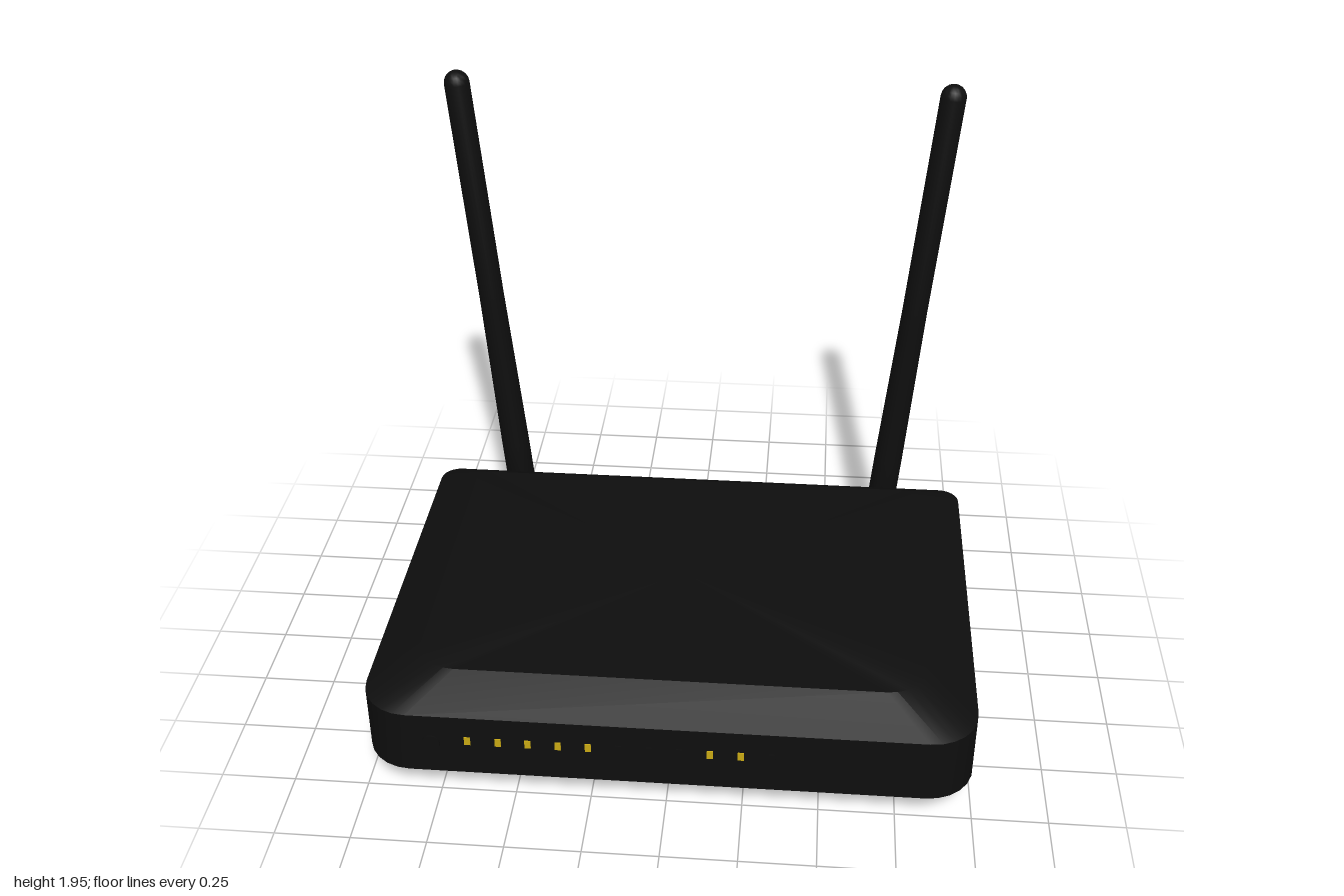
import * as THREE from 'three';
import { toCreasedNormals } from 'three/addons/utils/BufferGeometryUtils.js';

const black = new THREE.MeshStandardMaterial({ color: 0x0e0e0e });
black.name = 'black plastic';
const yellow = new THREE.MeshStandardMaterial({ color: 0xcaaa14 });
yellow.name = 'yellow plastic';

const FRONT = 0.795, BACK = -0.65, MID = (FRONT + BACK) / 2;
const WALL_LOW = 0.12, WALL_HIGH = 0.35, BACK_R = 0.07;
const PORTS = { x: 0.215, y: 0.24, w: 0.43, h: 0.14 };

function add(parent, name, geometry, material, x = 0, y = 0, z = 0) {
  const mesh = new THREE.Mesh(geometry, material);
  mesh.name = name;
  mesh.position.set(x, y, z);
  parent.add(mesh);
  return mesh;
}

function rect(Type, x, y, w, h) {
  const r = new Type();
  r.moveTo(x - w / 2, y - h / 2);
  r.lineTo(x + w / 2, y - h / 2);
  r.lineTo(x + w / 2, y + h / 2);
  r.lineTo(x - w / 2, y + h / 2);
  r.closePath();
  return r;
}

// Rounded plan outline lofted through four levels, chamfered above and below.
function bodyGeometry() {
  const steps = 6, plan = [];
  const corners = [[1, 1, 0.16], [-1, 1, 0.16], [-1, -1, BACK_R], [1, -1, BACK_R]];
  corners.forEach(([sx, sz, r], q) => {
    for (let i = 0; i <= steps; i++) {
      const a = (q + i / steps) * Math.PI / 2;
      const cz = sz > 0 ? FRONT - r : BACK + r;
      plan.push([sx * (1 - r) + r * Math.cos(a), cz + r * Math.sin(a)]);
    }
  });
  const levels = [[0.035, 0.835, 0.807], [WALL_LOW, 1, 1], [WALL_HIGH, 1, 1], [0.435, 0.835, 0.807]];
  const rings = levels.map(([y, kx, kz]) => plan.map(([x, z]) => [x * kx, y, MID + (z - MID) * kz]));
  const n = plan.length, backEdge = 3 * (steps + 1) - 1, pos = [];
  const tri = (a, b, c) => pos.push(...a, ...b, ...c);
  for (let i = 0; i < n; i++) {
    const j = (i + 1) % n;
    for (let k = 0; k < 3; k++) {
      if (k === 1 && i === backEdge) continue; // the back panel fills this gap
      const lo = rings[k], up = rings[k + 1];
      tri(lo[i], up[i], lo[j]);
      tri(up[i], up[j], lo[j]);
    }
    tri([0, 0.435, MID], rings[3][j], rings[3][i]);
    tri([0, 0.035, MID], rings[0][i], rings[0][j]);
  }
  const g = new THREE.BufferGeometry();
  g.setAttribute('position', new THREE.Float32BufferAttribute(pos, 3));
  return toCreasedNormals(g, 0.45);
}

// Socket opening with a stepped notch for the plug latch.
function socketHole(x, y) {
  const p = [[-0.038, -0.04], [0.038, -0.04], [0.038, 0.015], [0.022, 0.015], [0.022, 0.03],
    [0.012, 0.03], [0.012, 0.042], [-0.012, 0.042], [-0.012, 0.03], [-0.022, 0.03],
    [-0.022, 0.015], [-0.038, 0.015]];
  return new THREE.Path(p.map(([u, v]) => new THREE.Vector2(x + u, y + v)));
}

function antenna(side) {
  const group = new THREE.Group();
  group.name = side > 0 ? 'leftAntenna' : 'rightAntenna';
  const tilt = 0.088, length = 1.825, tip = 0.045;

  // Tapered rod with a domed tip
  const profile = [[0, 0], [0.05, 0], [0.054, 0.008], [0.053, 0.3], [0.046, 0.95], [tip, length - tip]];
  for (let i = 1; i <= 5; i++) {
    const a = i / 5 * Math.PI / 2;
    profile.push([Math.max(0, tip * Math.cos(a)), length - tip + tip * Math.sin(a)]);
  }
  const rodShape = new THREE.LatheGeometry(profile.map(([r, y]) => new THREE.Vector2(r, y)), 20);
  const rod = add(group, 'antennaRod', toCreasedNormals(rodShape, 0.6), black, side * 0.706, 0.13, -0.746);
  rod.rotation.z = -side * tilt;

  // Hinge stub joining the rod to the case
  const hinge = add(group, 'antennaHinge', new THREE.CylinderGeometry(0.036, 0.036, 0.12, 18), black,
    side * 0.715, 0.238, -0.69);
  hinge.rotation.x = Math.PI / 2;
  return group;
}

export function createModel() {
  const model = new THREE.Group();
  model.name = 'router';
  add(model, 'case', bodyGeometry(), black);

  // Back panel, open where the sockets sit
  const midY = (WALL_LOW + WALL_HIGH) / 2;
  const panel = rect(THREE.Shape, 0, midY, 2 * (1 - BACK_R), WALL_HIGH - WALL_LOW);
  panel.holes.push(rect(THREE.Path, -PORTS.x, PORTS.y, PORTS.w, PORTS.h));
  add(model, 'backPanel', new THREE.ShapeGeometry(panel), black, 0, 0, BACK).rotation.y = Math.PI;

  // Socket block with four recessed sockets
  const block = rect(THREE.Shape, -PORTS.x, PORTS.y, PORTS.w, PORTS.h);
  for (let i = 0; i < 4; i++) block.holes.push(socketHole(-PORTS.x + (i - 1.5) * 0.1, PORTS.y));
  const blockShape = new THREE.ExtrudeGeometry(block, { depth: 0.07, bevelEnabled: false });
  add(model, 'socketBlock', blockShape, yellow, 0, 0, BACK + 0.064).rotation.y = Math.PI;
  add(model, 'socketBacking', new THREE.BoxGeometry(PORTS.w, PORTS.h, 0.008), yellow,
    PORTS.x, PORTS.y, BACK + 0.068);

  // Small buttons on the back
  for (const [x, y, r] of [[0.545, 0.275, 0.012], [0.55, 0.19, 0.025], [-0.575, 0.24, 0.012]]) {
    add(model, 'backButton', new THREE.CylinderGeometry(r, r, 0.012, 16), black, x, y, BACK)
      .rotation.x = Math.PI / 2;
  }

  // Indicator lights: some lit, some dark
  for (const x of [-0.64, -0.54, -0.443, -0.345, -0.247, 0.146, 0.245]) {
    add(model, 'litIndicator', new THREE.BoxGeometry(0.02, 0.03, 0.008), yellow, x, 0.256, FRONT);
  }
  for (const x of [-0.15, -0.05, 0.047, 0.345]) {
    add(model, 'darkIndicator', new THREE.BoxGeometry(0.02, 0.03, 0.008), black, x, 0.256, FRONT);
  }
  add(model, 'powerButton', new THREE.CylinderGeometry(0.03, 0.03, 0.01, 20), black, -0.76, 0.24, FRONT)
    .rotation.x = Math.PI / 2;

  // Mirrored feet and antennas
  for (const side of [-1, 1]) {
    for (const z of [0.535, -0.41]) {
      add(model, 'foot', new THREE.CylinderGeometry(0.06, 0.055, 0.04, 20), black, side * 0.725, 0.02, z);
    }
    model.add(antenna(side));
  }
  return model;
}
